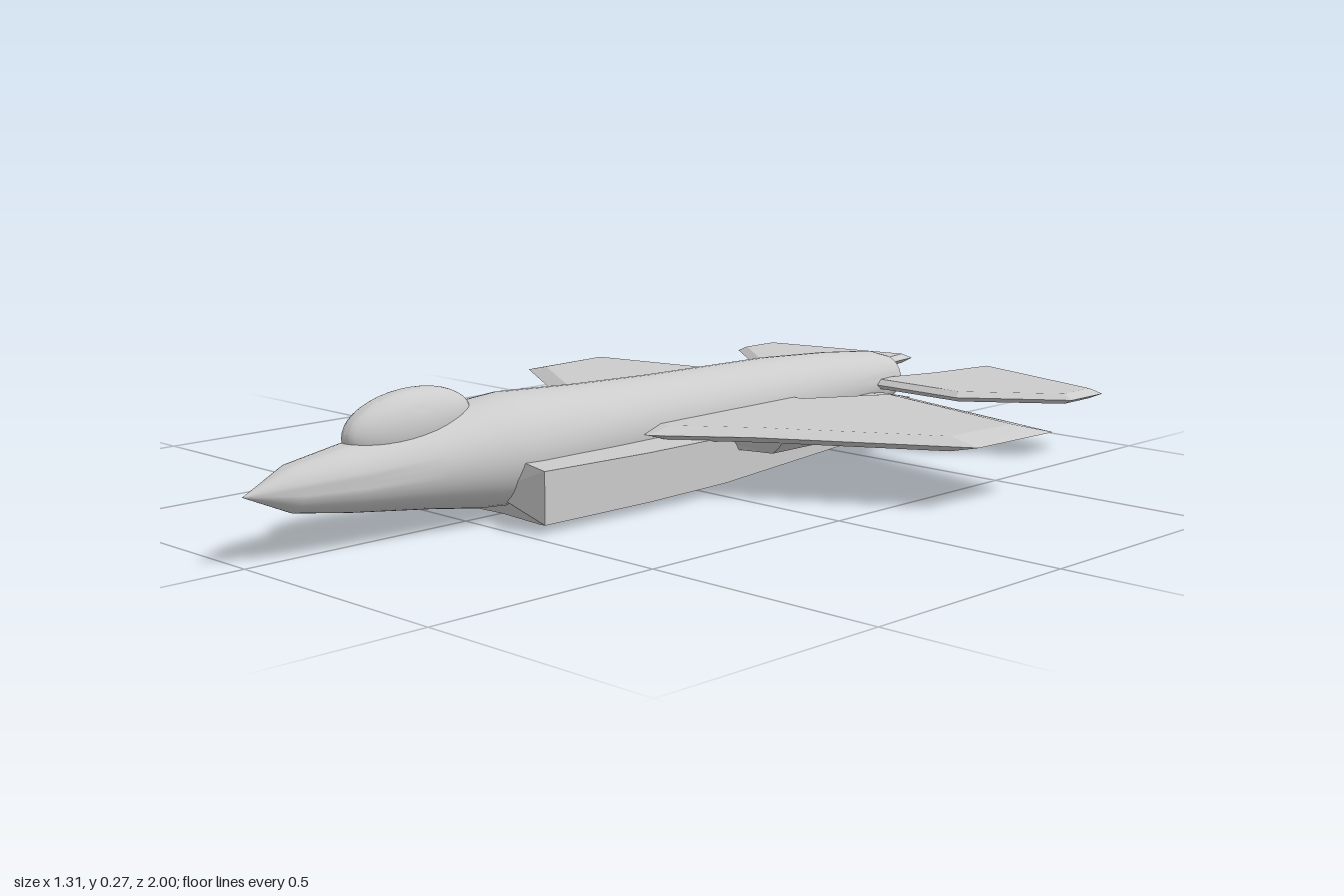
import * as THREE from 'three';
import { toCreasedNormals } from 'three/addons/utils/BufferGeometryUtils.js';

const material = new THREE.MeshStandardMaterial({ color: 0xcccccc });

function part(name, geometry, crease = 0.6) {
  const mesh = new THREE.Mesh(toCreasedNormals(geometry, crease), material);
  mesh.name = name;
  return mesh;
}

// Closed solid through equal-length rings of [x, y, z], capped at both ends
function loft(rings) {
  const n = rings[0].length;
  const tris = [];
  const centre = (ring) => [0, 1, 2].map((k) => ring.reduce((s, p) => s + p[k], 0) / n);
  for (let r = 0; r < rings.length - 1; r++) {
    for (let i = 0; i < n; i++) {
      const j = (i + 1) % n;
      const a = rings[r][i], b = rings[r][j], c = rings[r + 1][j], d = rings[r + 1][i];
      tris.push([a, b, c], [a, c, d]);
    }
  }
  const first = rings[0], last = rings[rings.length - 1];
  const c0 = centre(first), c1 = centre(last);
  for (let i = 0; i < n; i++) {
    const j = (i + 1) % n;
    tris.push([c0, first[j], first[i]], [c1, last[i], last[j]]);
  }
  // Turn the faces outwards whichever way the rings run
  const v = (p) => new THREE.Vector3(...p);
  const volume = tris.reduce((s, [a, b, c]) => s + v(a).dot(v(b).cross(v(c))), 0);
  if (volume < 0) tris.forEach((t) => t.reverse());
  const geometry = new THREE.BufferGeometry();
  geometry.setAttribute('position', new THREE.Float32BufferAttribute(tris.flat(2), 3));
  return geometry;
}

// Flat aerofoil: widest outline at mid height, smaller faces above and below
function plate(outline, face, y, half, side) {
  const at = (points, h) => points.map(([x, z]) => [side * x, h, z]);
  return loft([at(face, y - half), at(outline, y), at(face, y + half)]);
}

export function createModel() {
  const group = new THREE.Group();

  // Fuselage: [z, radius] from tail to nose
  const profile = [
    [-0.755, 0], [-0.755, 0.048], [-0.7, 0.064], [-0.55, 0.078], [-0.35, 0.089], [0, 0.094],
    [0.2, 0.1], [0.4, 0.11], [0.48, 0.104], [0.6, 0.086], [0.78, 0.063], [0.9, 0.044], [1, 0],
  ].map(([z, r]) => new THREE.Vector2(r, z));
  const fuselage = part('fuselage', new THREE.LatheGeometry(profile, 40).rotateX(Math.PI / 2));
  fuselage.position.y = 0.13;
  group.add(fuselage);

  // Canopy
  const canopy = part('canopy', new THREE.SphereGeometry(1, 32, 20).scale(0.05, 0.068, 0.147));
  canopy.position.set(0, 0.208, 0.635);
  canopy.rotation.x = -0.06 * -1;
  group.add(canopy);

  // Underbody: [z, half width, top, bottom], with the intake front swept inwards
  const stations = [
    [0.465, 0.185, 0.122, 0.003], [0.2, 0.188, 0.118, 0.003], [-0.02, 0.188, 0.118, 0.007],
    [-0.48, 0.172, 0.118, 0.032], [-0.62, 0.158, 0.116, 0.052], [-0.67, 0.14, 0.11, 0.066],
  ];
  const sweep = [0, 0, 0.045, 0.055, 0.055];
  const underbody = stations.map(([z, w, top, low], s) => {
    const half = [[w, top], [w, low + 0.017], [w * 0.67, low], [0, low], [0, top]];
    const dz = [0, 0, sweep[2], sweep[3], sweep[4]];
    const right = half.map(([x, y], i) => [x, y, z - (s === 0 ? dz[i] : 0)]);
    const left = right.slice(0, 3).reverse().map(([x, y, pz]) => [-x, y, pz]);
    return [...right.slice(0, 4), ...left, right[4]];
  });
  group.add(part('underbody', loft(underbody), 0.25));

  // Planforms as [x, z]
  const wingOutline = [[0.06, 0.12], [0.11, 0.12], [0.27, -0.01], [0.645, -0.24],
    [0.655, -0.472], [0.183, -0.58], [0.1, -0.37], [0.06, -0.37]];
  const wingFace = [[0.06, 0.07], [0.12, 0.07], [0.27, -0.045], [0.58, -0.235],
    [0.592, -0.42], [0.21, -0.51], [0.11, -0.34], [0.06, -0.34]];
  const tailOutline = [[0.03, -0.645], [0.29, -0.64], [0.486, -0.79], [0.486, -0.905],
    [0.113, -1], [0.09, -0.82], [0.06, -0.7]];
  const tailFace = [[0.03, -0.66], [0.285, -0.657], [0.463, -0.795], [0.463, -0.89],
    [0.125, -0.977], [0.098, -0.82], [0.06, -0.7]];

  for (const [label, side] of [['left', 1], ['right', -1]]) {
    group.add(part(label + 'Wing', plate(wingOutline, wingFace, 0.13, 0.015, side), 0.2));
    group.add(part(label + 'Tailplane', plate(tailOutline, tailFace, 0.131, 0.011, side), 0.2));

    // Shallow fairing beneath the wing
    const ring = (y, x0, x1, z0, z1) => [[x0, z0], [x1, z0 - 0.03], [x1, z1], [x0, z1]]
      .map(([x, z]) => [side * x, y, z]);
    group.add(part(label + 'WingFairing', loft([
      ring(0.12, 0.15, 0.305, -0.03, -0.47),
      ring(0.103, 0.15, 0.285, -0.04, -0.455),
      ring(0.086, 0.15, 0.26, -0.05, -0.45),
    ]), 0.2));
  }
  return group;
}
